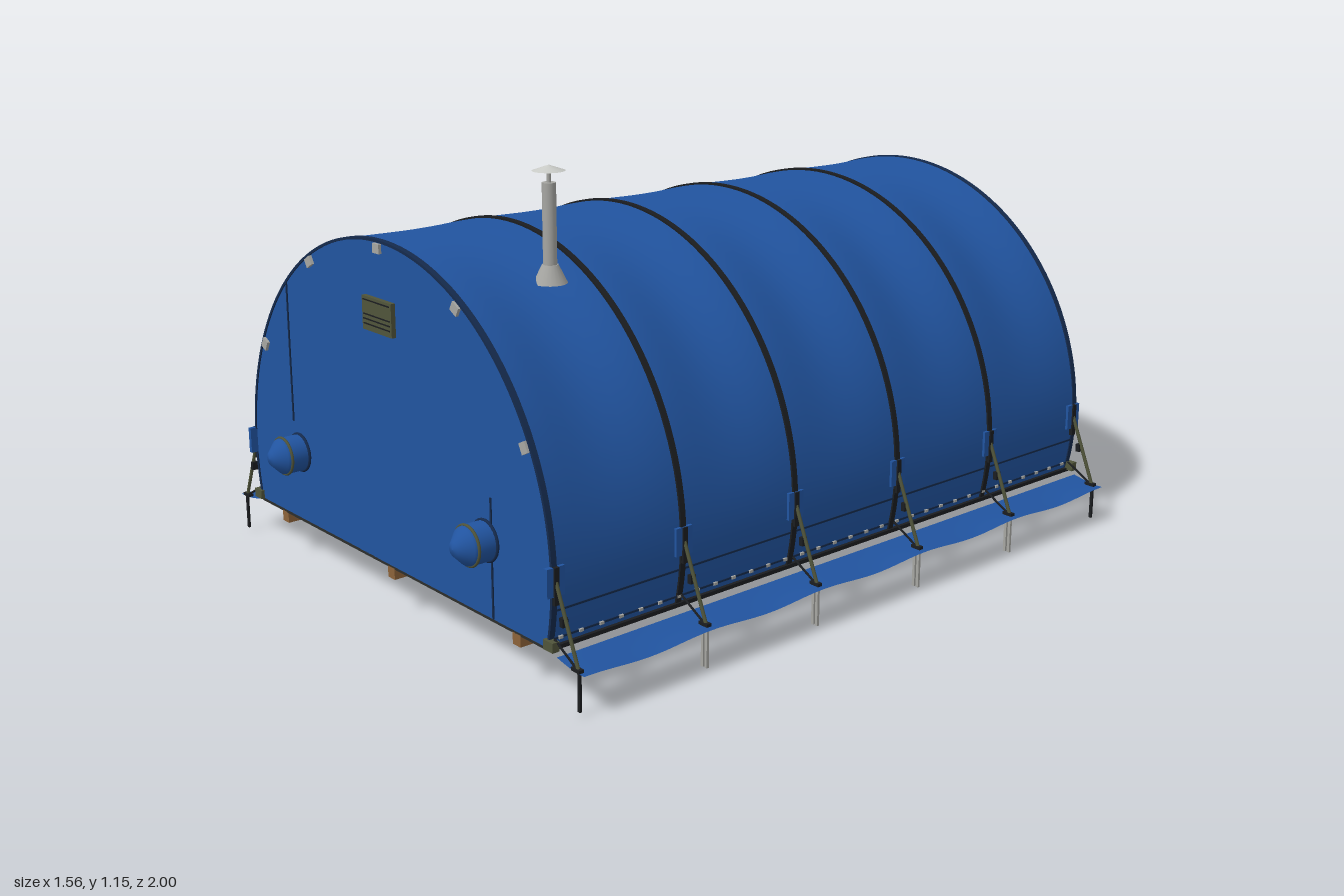
import * as THREE from 'three';
import { mergeGeometries } from 'three/addons/utils/BufferGeometryUtils.js';

const mat = (name, color, side = THREE.FrontSide) => {
  const m = new THREE.MeshStandardMaterial({ color, side });
  m.name = name;
  return m;
};

const R = 0.67, CY = 0.29, FLOOR = 0.128;         // arch radius, centre height, floor level
const DROP = Math.asin((CY - FLOOR) / R);         // how far the arch continues below its centre
const ZF = 0.905, ZB = -0.985;                    // end walls
const RIBS = [0.52, 0.15, -0.225, -0.6];          // strap positions
const BAYS = [ZF, ...RIBS, ZB];
const ANCHORS = [0.9, ...RIBS, -0.97];

export function createModel() {
  const root = new THREE.Group();
  root.name = 'archedTent';
  const blue = mat('blueFabric', 0x2154a0, THREE.DoubleSide);
  const navy = mat('navySeam', 0x152a4c);
  const black = mat('blackWebbing', 0x1b1d20);
  const olive = mat('oliveTrim', 0x50543a);
  const metal = mat('greyMetal', 0xa6a6a2);
  const pale = mat('paleLabel', 0xc8cac6);
  const wood = mat('timber', 0x8c6239);
  const dark = mat('floorSheet', 0x2c2e2b);

  const add = (name, geo, material, x = 0, y = 0, z = 0, parent = root) => {
    const m = new THREE.Mesh(geo, material);
    m.name = name;
    m.position.set(x, y, z);
    parent.add(m);
    return m;
  };
  const box = (w, h, d, x = 0, y = 0, z = 0) => new THREE.BoxGeometry(w, h, d).translate(x, y, z);
  // straight round bar between two points
  const bar = (a, b, r) => new THREE.TubeGeometry(
    new THREE.LineCurve3(new THREE.Vector3(...a), new THREE.Vector3(...b)), 1, r, 6);
  // curved band that follows the arch
  const archBand = (r0, r1, z0, z1) => {
    const s = new THREE.Shape();
    s.absarc(0, CY, r1, -DROP, Math.PI + DROP, false);
    s.absarc(0, CY, r0, Math.PI + DROP, -DROP, true);
    return new THREE.ExtrudeGeometry(s, { depth: z1 - z0, bevelEnabled: false, curveSegments: 56 }).translate(0, 0, z0);
  };

  // Roof: arch that sags between the ribs on both shoulders
  const NA = 72, NZ = 10, pos = [], idx = [];
  const zs = [];
  for (let b = 0; b < 5; b++) for (let k = 0; k < NZ; k++) zs.push([b, k / NZ]);
  zs.push([4, 1]);
  zs.forEach(([b, t], j) => {
    const z = BAYS[b] + (BAYS[b + 1] - BAYS[b]) * t;
    for (let i = 0; i <= NA; i++) {
      const a = -DROP + (Math.PI + 2 * DROP) * i / NA;
      const shoulder = Math.sin(a) > 0 ? Math.sin(2 * a) ** 2 : 0;
      const r = R - 0.025 * Math.sin(Math.PI * t) ** 2 * shoulder;
      pos.push(r * Math.cos(a), CY + r * Math.sin(a), z);
      if (j && i) {
        const p = j * (NA + 1) + i, q = p - NA - 1;
        idx.push(q - 1, p - 1, q, q, p - 1, p);
      }
    }
  });
  const roof = new THREE.BufferGeometry();
  roof.setAttribute('position', new THREE.Float32BufferAttribute(pos, 3));
  roof.setIndex(idx);
  // outward winding
  for (let i = 0; i < idx.length; i += 3) {
    const k = roof.index.array, t = k[i + 1];
    k[i + 1] = k[i + 2];
    k[i + 2] = t;
  }
  roof.computeVertexNormals();
  const probe = roof.attributes.normal;
  if (probe.getY(NA / 2) < 0) {
    roof.index.array.reverse();
    roof.computeVertexNormals();
  }
  add('roof', roof, blue);

  // End walls with hems
  const wall = new THREE.Shape();
  wall.absarc(0, CY, R, -DROP, Math.PI + DROP, false);
  const wallGeo = new THREE.ShapeGeometry(wall, 72);
  add('frontWall', wallGeo, blue, 0, 0, ZF);
  add('backWall', wallGeo, blue, 0, 0, ZB).rotation.y = Math.PI;
  add('frontHem', archBand(R - 0.004, R + 0.003, ZF - 0.012, ZF + 0.003), navy);
  add('backHem', archBand(R - 0.004, R + 0.003, ZB - 0.003, ZB + 0.012), navy);

  // Straps over the ribs
  RIBS.forEach(z => add('roofStrap', archBand(R - 0.003, R + 0.005, z - 0.008, z + 0.008), black));

  // Floor and timber runners
  const len = ZF - ZB, mid = (ZF + ZB) / 2;
  add('floor', box(1.312, 0.008, len), dark, 0, FLOOR - 0.003, mid);
  [-0.53, 0, 0.53].forEach(x => add('floorRunner', box(0.03, 0.03, len), wood, x, 0.108, mid));

  // Both long sides: skirt, seams, lacing, guys and stakes
  [1, -1].forEach(s => {
    const sideX = y => s * Math.sqrt(R * R - (y - CY) ** 2);
    const skirt = new THREE.PlaneGeometry(0.1, len, 6, 80).rotateX(-Math.PI / 2);
    const p = skirt.attributes.position;
    for (let i = 0; i < p.count; i++) {
      const t = p.getX(i) / 0.1 + 0.5, z = p.getZ(i) + mid;
      const wave = 0.006 * Math.cos((z - 0.15) * Math.PI * 2 / 0.375) * t;
      p.setXYZ(i, s * (0.682 + 0.098 * t), 0.117 - 0.017 * Math.sin(t * Math.PI / 2) + wave * 0.8, z);
    }
    if (s < 0) skirt.index.array.reverse();
    skirt.computeVertexNormals();
    add('groundSkirt', skirt, blue);

    add('sideSeam', box(0.004, 0.005, len), navy, sideX(0.222), 0.222, mid);
    add('bottomRail', box(0.012, 0.01, len), black, sideX(0.13) + s * 0.004, 0.128, mid);
    add('lacingRope', box(0.006, 0.005, len), navy, sideX(0.15), 0.15, mid);
    const eyelets = [];
    for (let i = 0; i < 32; i++) eyelets.push(box(0.008, 0.007, 0.012, sideX(0.15) + s * 0.002, 0.15, ZF - 0.03 - i * 0.059));
    add('lacingEyelets', mergeGeometries(eyelets), metal);

    ANCHORS.forEach((z, i) => {
      const end = i === 0 || i === ANCHORS.length - 1;
      const g = new THREE.Group();
      g.name = 'guyAnchor';
      root.add(g);
      add('anchorPatch', box(0.012, 0.07, 0.05), blue, s * 0.671, 0.295, z, g);
      add('anchorTab', box(0.01, 0.09, 0.014), black, s * 0.676, 0.285, z, g);
      add('guyLine', bar([s * 0.675, 0.3, z], [s * 0.756, 0.105, z], 0.005), olive, 0, 0, 0, g);
      add('lowerLine', bar([s * 0.668, 0.155, z], [s * 0.745, 0.112, z], 0.003), black, 0, 0, 0, g);
      add('buckle', box(0.012, 0.022, 0.016), black, s * 0.703, 0.208, z, g);
      if (end) {
        add('cornerStake', box(0.008, 0.1, 0.006), black, s * 0.757, 0.06, z, g);
        add('cornerBracket', box(0.035, 0.024, 0.02), olive, s * 0.662, 0.14, i ? ZB : ZF, g);
      } else {
        add('stakes', mergeGeometries([box(0.008, 0.11, 0.007, s * 0.744, 0.055, z),
          box(0.008, 0.11, 0.007, s * 0.757, 0.055, z)]), metal, 0, 0, 0, g);
      }
      add('stakeHead', box(0.03, 0.008, 0.014), black, s * 0.75, 0.11, z, g);
    });
  });

  // Fittings shared by both end walls: louvred vent and edge clips
  [[ZF, 1], [ZB, -1]].forEach(([z, d]) => {
    const g = new THREE.Group();
    g.name = d > 0 ? 'frontFittings' : 'backFittings';
    g.position.z = z;
    root.add(g);
    add('vent', box(0.13, 0.085, 0.012), olive, 0, 0.775, d * 0.006, g);
    const slats = [-0.026, -0.014, -0.002, 0.034].map(y => box(0.118, 0.003, 0.003, 0, 0.775 + y, d * 0.0125));
    add('ventSlats', mergeGeometries(slats), black, 0, 0, 0, g);
    [27, 60, 90, 120, 153].forEach(deg => {
      const a = deg * Math.PI / 180, r = R - 0.018;
      const c = add('edgeClip', box(0.028, 0.024, 0.008), metal, r * Math.cos(a), CY + r * Math.sin(a), d * 0.004, g);
      c.rotation.z = a - Math.PI / 2;
    });
  });

  // Front wall: seams and two capped duct sleeves
  add('frontSeam', box(0.005, 0.38, 0.004), navy, -0.455, 0.59, ZF + 0.001);
  add('frontSeam', box(0.005, 0.3, 0.004), navy, 0.442, 0.28, ZF + 0.001);
  [-0.425, 0.42].forEach(x => {
    const sleeve = [[0.049, 0], [0.049, 0.055], [0.046, 0.064], [0.018, 0.092], [0, 0.095]]
      .map(([a, b]) => new THREE.Vector2(a, b));
    add('ductSleeve', new THREE.LatheGeometry(sleeve, 28).rotateX(Math.PI / 2), blue, x, 0.32, ZF);
    add('ductRing', new THREE.TorusGeometry(0.049, 0.004, 8, 28), olive, x, 0.32, ZF + 0.054);
    add('ductCollar', new THREE.TorusGeometry(0.05, 0.004, 8, 28), navy, x, 0.32, ZF + 0.004);
  });

  // Back wall: arched door piping, seams and label
  const door = new THREE.Shape();
  const DW = 0.17, SPRING = 0.585;
  door.moveTo(DW, FLOOR);
  door.absarc(0, SPRING, DW, 0, Math.PI, false);
  door.lineTo(-DW, FLOOR);
  door.lineTo(-DW + 0.009, FLOOR);
  door.absarc(0, SPRING, DW - 0.009, Math.PI, 0, true);
  door.lineTo(DW - 0.009, FLOOR);
  add('doorPiping', new THREE.ExtrudeGeometry(door, { depth: 0.008, bevelEnabled: false, curveSegments: 24 }), black, 0, 0, ZB - 0.007);
  [-0.437, 0.437].forEach(x => add('backSeam', box(0.006, 0.66, 0.004), navy, x, 0.46, ZB - 0.001));
  add('label', box(0.085, 0.055, 0.005), pale, 0.24, 0.578, ZB - 0.002);

  // Stove chimney
  const stove = new THREE.Group();
  stove.name = 'chimney';
  stove.position.set(0.305, 0, 0.62);
  root.add(stove);
  add('flashing', new THREE.CylinderGeometry(0.02, 0.042, 0.045, 20), metal, 0, 0.89, 0, stove);
  add('pipe', new THREE.CylinderGeometry(0.017, 0.017, 0.22, 20), metal, 0, 1.0, 0, stove);
  add('capStem', new THREE.CylinderGeometry(0.005, 0.005, 0.04, 8), metal, 0, 1.125, 0, stove);
  add('rainCap', new THREE.ConeGeometry(0.04, 0.014, 24), pale, 0, 1.145, 0, stove);
  return root;
}
